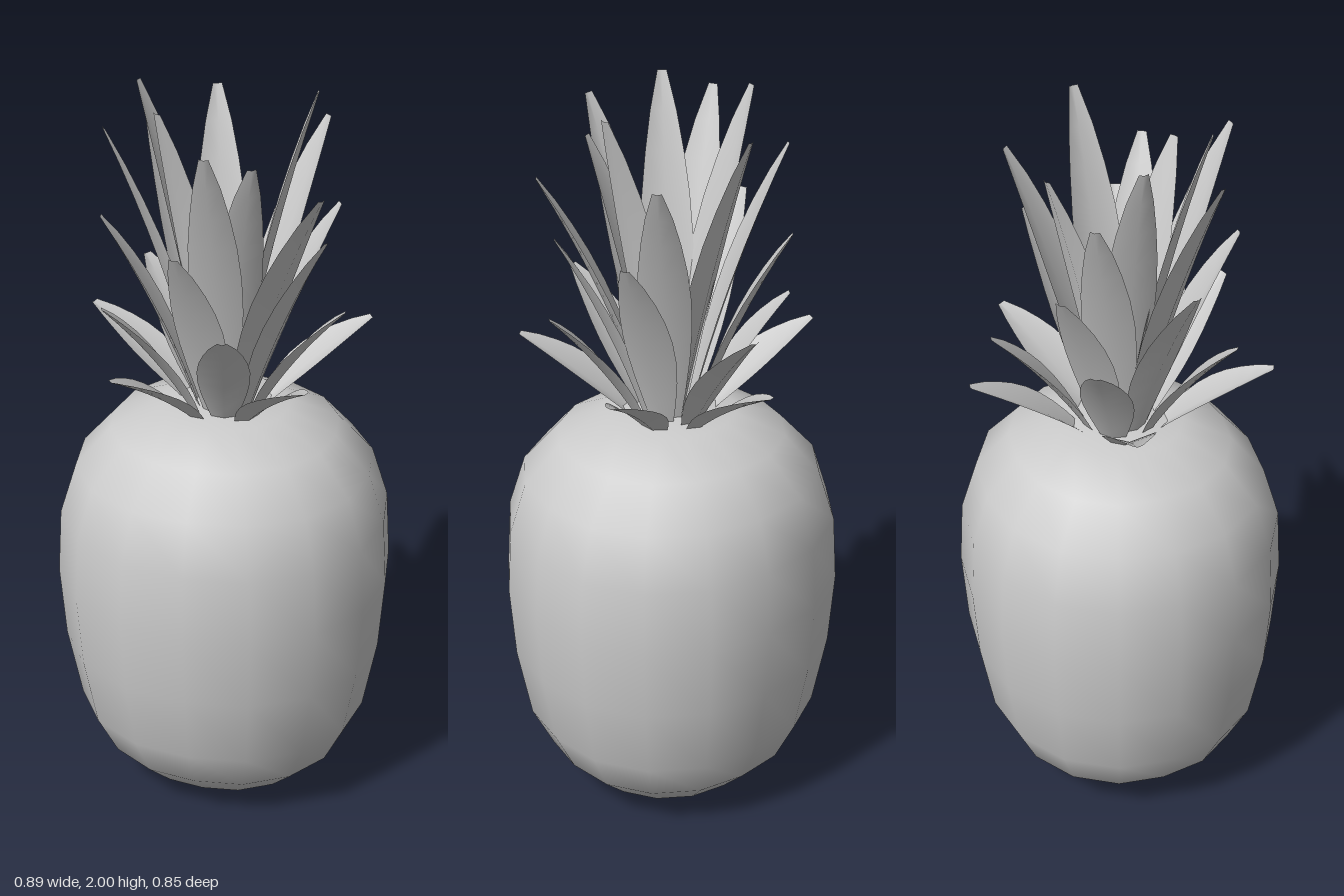
import * as THREE from 'three';

const material = new THREE.MeshStandardMaterial({ color: 0xcccccc });
const leafMaterial = new THREE.MeshStandardMaterial({ color: 0xcccccc, side: THREE.DoubleSide });

// Leaf tips [x, y, z], one row per ring of the crown, outermost first
const rings = [
  { base: 0.11, tips: [[0, 1.33, -0.405], [-0.39, 1.33, -0.105], [-0.2, 1.33, 0.345], [0.28, 1.33, 0.285], [0.345, 1.33, -0.205]] },
  { base: 0.09, tips: [[0, 1.46, -0.345], [-0.26, 1.46, -0.165], [-0.265, 1.46, 0.21], [0.08, 1.46, 0.325], [0.33, 1.46, 0.07]] },
  { base: 0.07, tips: [[-0.205, 1.66, -0.235], [-0.305, 1.66, 0.085], [-0.05, 1.66, 0.305], [0.29, 1.66, 0.1], [0.265, 1.66, -0.16]] },
  { base: 0.05, tips: [[-0.25, 1.87, -0.16], [-0.265, 1.93, 0.165], [0.03, 1.93, 0.31], [0.29, 1.8, 0.175], [0.215, 1.87, -0.225]] },
  { base: 0.03, tips: [[-0.08, 1.93, -0.22], [-0.235, 1.99, -0.03], [-0.12, 1.99, 0.195], [0.12, 1.87, 0.195], [0.23, 2, -0.035]] },
];

// Half width of a leaf from root to rounded tip
const halfWidths = [0.03, 0.046, 0.059, 0.067, 0.068, 0.062, 0.05, 0.034, 0.012];

// A cupped leaf: left edge, midrib and right edge swept along an arching curve
function leafGeometry(tip, baseRadius) {
  const end = new THREE.Vector3(...tip);
  const out = new THREE.Vector3(end.x, 0, end.z);
  const reach = out.length();
  out.normalize();
  const side = new THREE.Vector3(-out.z, 0, out.x);
  const rise = end.y - 1.12;
  const start = out.clone().multiplyScalar(baseRadius).setY(1.12);
  const bend = out.clone().multiplyScalar(baseRadius + (reach - baseRadius) * 0.42).setY(1.12 + rise * 0.56);
  const curve = new THREE.QuadraticBezierCurve3(start, bend, end);
  const positions = [], index = [];
  halfWidths.forEach((w, i) => {
    const t = i / (halfWidths.length - 1);
    const p = curve.getPoint(t);
    const inward = new THREE.Vector3().crossVectors(side, curve.getTangent(t)).normalize();
    if (inward.dot(out) > 0) inward.negate();
    for (const s of [-1, 0, 1]) {
      const v = p.clone().addScaledVector(side, s * w);
      if (s !== 0) v.addScaledVector(inward, w * 0.3);
      positions.push(v.x, v.y, v.z);
    }
    if (i === 0) return;
    const a = (i - 1) * 3, b = i * 3;
    for (const k of [0, 1]) {
      index.push(a + k, a + k + 1, b + k, a + k + 1, b + k + 1, b + k);
    }
  });
  const geometry = new THREE.BufferGeometry();
  geometry.setAttribute('position', new THREE.Float32BufferAttribute(positions, 3));
  geometry.setIndex(index);
  geometry.computeVertexNormals();
  return geometry;
}

// Barrel-shaped fruit: a lathe, slightly narrow front to back and fuller on the diagonals
function fruitGeometry() {
  const profile = [
    [0, 0], [0.13, 0.015], [0.25, 0.055], [0.335, 0.135], [0.392, 0.25], [0.43, 0.45],
    [0.445, 0.65], [0.435, 0.83], [0.392, 0.97], [0.3, 1.075], [0.17, 1.135], [0, 1.14],
  ].map(([r, y]) => new THREE.Vector2(r, y));
  const geometry = new THREE.LatheGeometry(profile, 16);
  const position = geometry.attributes.position;
  for (let i = 0; i < position.count; i++) {
    const x = position.getX(i), z = position.getZ(i);
    const fullness = 1 + 0.03 * Math.abs(Math.sin(2 * Math.atan2(z, x)));
    position.setX(i, x * fullness);
    position.setZ(i, z * fullness * 0.953);
  }
  return geometry;
}

export function createModel() {
  const model = new THREE.Group();
  model.name = 'pineapple';

  const fruit = new THREE.Mesh(fruitGeometry(), material);
  fruit.name = 'fruit';
  model.add(fruit);

  // Crown of leaves, ring by ring
  const crown = new THREE.Group();
  crown.name = 'crown';
  rings.forEach(({ base, tips }, r) => {
    tips.forEach((tip, i) => {
      const leaf = new THREE.Mesh(leafGeometry(tip, base), leafMaterial);
      leaf.name = `leafRing${r + 1}Leaf${i + 1}`;
      crown.add(leaf);
    });
  });
  model.add(crown);

  return model;
}
